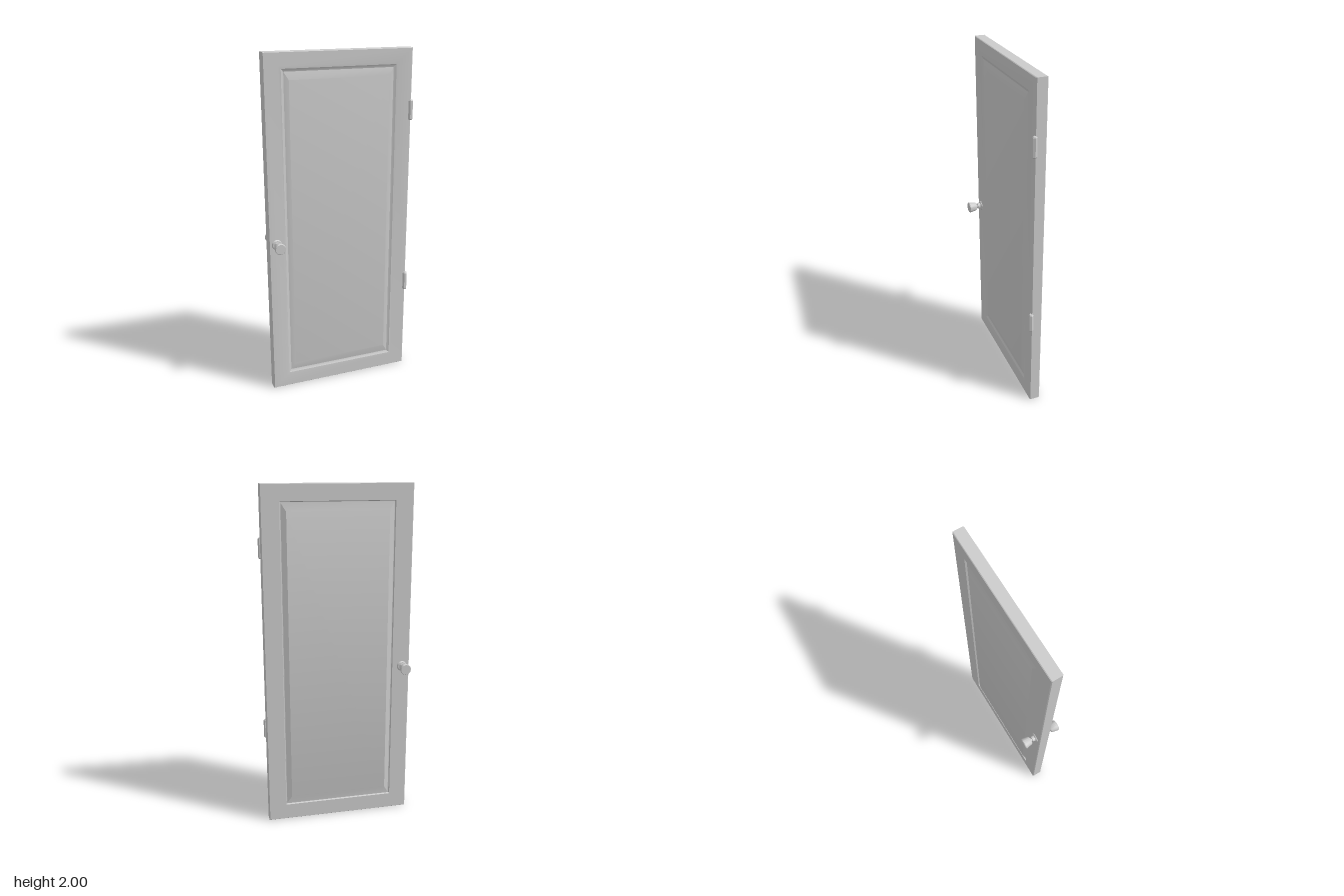
import * as THREE from 'three';
import { toCreasedNormals } from 'three/addons/utils/BufferGeometryUtils.js';

const material = new THREE.MeshStandardMaterial({ color: 0xcccccc });
const WIDTH = 0.866, HEIGHT = 2, CENTER_X = -0.007;

function addMesh(parent, name, geometry) {
  const mesh = new THREE.Mesh(geometry, material);
  mesh.name = name;
  parent.add(mesh);
  return mesh;
}

// Closed solid from nested rectangles [insetX, insetY, z], running back to front
function rectLoft(rings) {
  const positions = [], index = [];
  for (const [ix, iy, z] of rings) {
    const x = WIDTH / 2 - ix, y0 = iy, y1 = HEIGHT - iy;
    positions.push(CENTER_X - x, y0, z, CENTER_X + x, y0, z, CENTER_X + x, y1, z, CENTER_X - x, y1, z);
  }
  for (let r = 0; r < rings.length - 1; r++) {
    for (let i = 0; i < 4; i++) {
      const a = r * 4 + i, b = r * 4 + (i + 1) % 4;
      index.push(a, b, b + 4, a, b + 4, a + 4);
    }
  }
  const last = (rings.length - 1) * 4;
  index.push(0, 2, 1, 0, 3, 2, last, last + 1, last + 2, last, last + 2, last + 3);
  const geometry = new THREE.BufferGeometry();
  geometry.setAttribute('position', new THREE.Float32BufferAttribute(positions, 3));
  geometry.setIndex(index);
  return toCreasedNormals(geometry, 0.3);
}

function lathe(profile, segments, crease) {
  const points = profile.map(([r, y]) => new THREE.Vector2(r, y));
  return toCreasedNormals(new THREE.LatheGeometry(points, segments), crease);
}

export function createModel() {
  const door = new THREE.Group();
  door.name = 'door';

  // Slab with a raised, bevelled panel behind a groove on each face
  addMesh(door, 'doorLeaf', rectLoft([
    [0.14, 0.148, -0.038],
    [0.112, 0.102, -0.024],
    [0.108, 0.098, -0.024],
    [0.104, 0.094, -0.033],
    [0.004, 0.003, -0.033],
    [0, 0, -0.029],
    [0, 0, 0.026],
    [0.004, 0.003, 0.03],
    [0.085, 0.075, 0.03],
    [0.098, 0.088, 0.028],
    [0.107, 0.097, 0.023],
    [0.113, 0.104, 0.021],
    [0.14, 0.148, 0.029],
  ]));

  // Flared knob with stepped neck and rose on both sides
  const knobProfile = [
    [0, -0.002], [0.03, -0.002], [0.03, 0.002], [0.025, 0.007], [0.017, 0.008],
    [0.017, 0.024], [0.011, 0.026], [0.011, 0.034], [0.022, 0.034],
    [0.025, 0.038], [0.032, 0.072], [0.032, 0.078], [0.029, 0.082], [0, 0.082],
  ];
  for (const [name, z, side] of [['frontKnob', 0.03, 1], ['backKnob', -0.033, -1]]) {
    const knob = addMesh(door, name, lathe(knobProfile, 20, 0.6));
    knob.rotation.x = side * Math.PI / 2;
    knob.position.set(-0.395, 0.935, z);
  }

  // Six-sided hinge barrels with chamfered ends
  const hingeProfile = [
    [0, -0.058], [0.009, -0.058], [0.014, -0.051],
    [0.014, 0.051], [0.009, 0.058], [0, 0.058],
  ];
  for (const [name, y] of [['lowerHinge', 0.583], ['upperHinge', 1.652]]) {
    const hinge = addMesh(door, name, lathe(hingeProfile, 6, 0.1));
    hinge.rotation.y = Math.PI / 6;
    hinge.position.set(0.423, y, 0.031);
  }

  return door;
}
